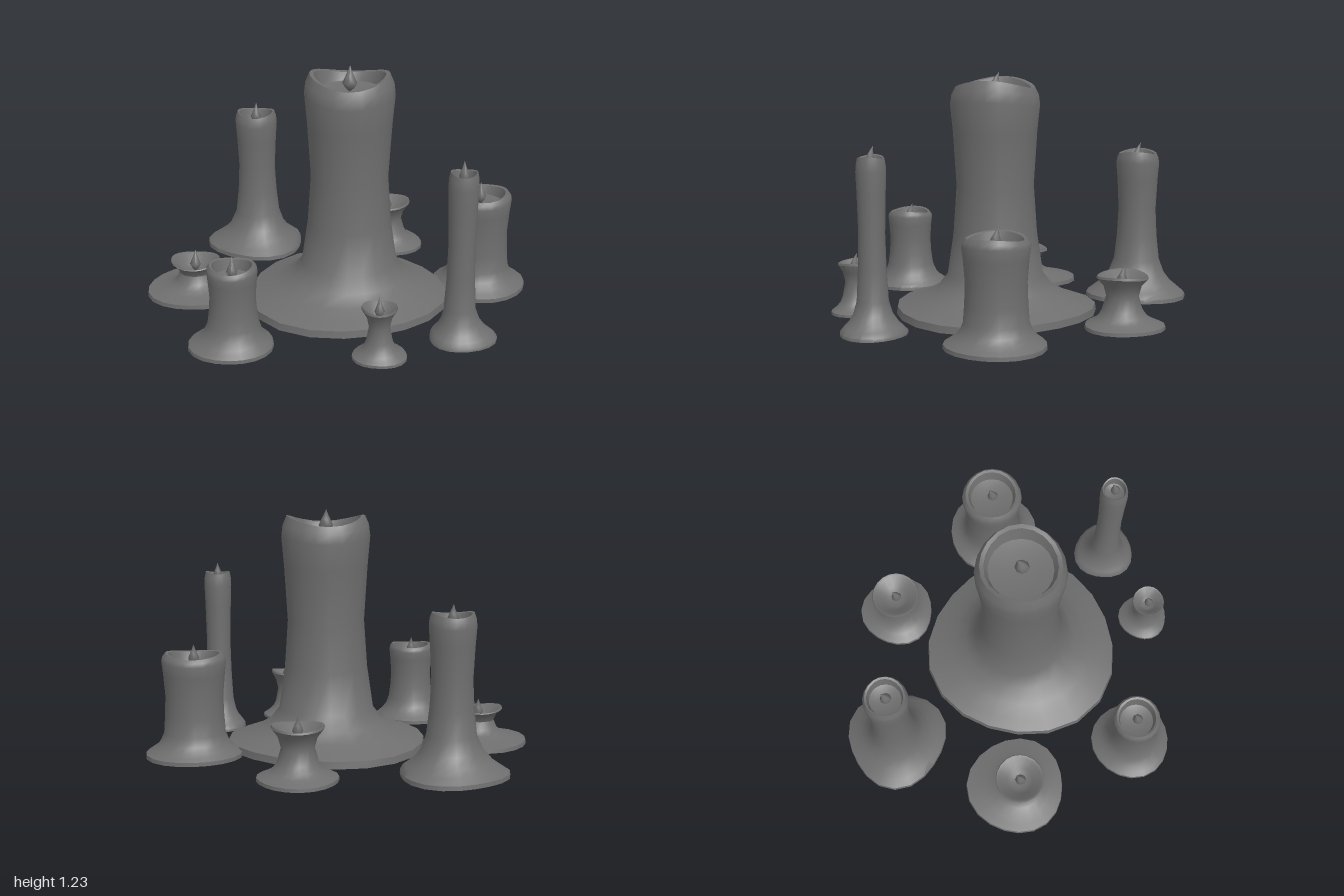
import * as THREE from 'three';
import { toCreasedNormals } from 'three/addons/utils/BufferGeometryUtils.js';

const SIDES = 20;
const wax = new THREE.MeshStandardMaterial({ color: 0x6e6e6e, side: THREE.DoubleSide });

// Stem rows as [share of stem height, share of foot, waist and top radius]
const PILLAR = [[0, 1, 0, 0], [0.22, 0.35, 0.65, 0], [0.47, 0, 1, 0], [0.75, 0, 0.45, 0.55],
  [0.9, 0, 0, 1], [0.955, 0, 0, 0.97], [1, 0, 0, 0.88]];
const STUB = [[0, 1, 0, 0], [0.4, 0, 1, 0], [0.7, 0, 0.7, 0.3], [0.94, 0, 0, 1], [1, 0, 0, 0.97]];

// Joins closed rings of points into one skin; rings run up the outside, then into the well
function skin(rings) {
  const index = [];
  for (let i = 0; i < rings.length - 1; i++) {
    for (let j = 0; j < SIDES; j++) {
      const a = i * SIDES + j, b = i * SIDES + ((j + 1) % SIDES);
      index.push(a, a + SIDES, b, b, a + SIDES, b + SIDES);
    }
  }
  const geometry = new THREE.BufferGeometry();
  geometry.setAttribute('position', new THREE.Float32BufferAttribute(rings.flat(2), 3));
  geometry.setIndex(index);
  return toCreasedNormals(geometry, 0.75);
}

// radius and height are functions of the angle from +x towards +z
function ring(radius, height) {
  return Array.from({ length: SIDES }, (_, j) => {
    const a = (j / SIDES) * Math.PI * 2;
    return [radius(a) * Math.cos(a), height(a), radius(a) * Math.sin(a)];
  });
}

function waxGeometry({ rows, rimY, floor, footY, foot, waist, top, spread, dx, dz, lobe, turn }) {
  const edge = 0.005 + 0.06 * spread;
  const wave = 0.004 + 0.07 * spread * spread;
  const puddle = (a) => spread + dx * Math.cos(a) + dz * Math.sin(a) + lobe * Math.cos(3 * (a - turn));
  const wavy = (y, w) => (a) => y + w * wave * Math.cos(2 * a);
  const rings = [ring(puddle, () => 0)];

  // Puddle flaring into the stem
  for (const [t, h] of [[0.02, 0], [0.25, 0.14], [0.52, 0.31], [0.8, 0.58]]) {
    const y = THREE.MathUtils.lerp(edge, footY, h);
    rings.push(ring((a) => THREE.MathUtils.lerp(puddle(a), foot, t), () => y));
  }
  // Stem and wavy rim
  for (const [t, f, w, k] of rows) {
    const r = f * foot + w * waist + k * top;
    const y = THREE.MathUtils.lerp(footY, rimY, t);
    rings.push(ring(() => r, wavy(y, Math.max(0, 4 * t - 3))));
  }
  // Melted well, kept inside the waist
  const rim = top * rows[rows.length - 1][3];
  const well = Math.min(rim * 0.8, waist * 0.85);
  rings.push(ring(() => rim * 0.9, wavy(rimY - 0.004, 1)));
  rings.push(ring(() => well, () => floor + 0.012));
  rings.push(ring(() => well * 0.6, () => floor));
  rings.push(ring(() => 0, () => floor));
  return skin(rings);
}

// Teardrop flame with a slightly curled tip
function flameGeometry(height, radius) {
  const profile = [[0, 0], [0.6, 0.16], [1, 0.36], [0.62, 0.6], [0.28, 0.8], [0, 1]]
    .map(([r, y]) => new THREE.Vector2(r * radius, y * height));
  const geometry = new THREE.LatheGeometry(profile, 8);
  const p = geometry.attributes.position;
  for (let i = 0; i < p.count; i++) {
    const t = p.getY(i) / height;
    p.setZ(i, p.getZ(i) + radius * 0.9 * (t - 1.6 * t * t));
  }
  geometry.computeVertexNormals();
  return geometry;
}

// stem: foot height, then foot, waist and top radius
// puddle: mean radius, lean in x and z, lobe size, lobe direction in degrees
function makeCandle(name, rows, [x, z], [rimY, tip], stem, puddle) {
  const [footY, foot, waist, top] = stem;
  const [spread, dx, dz, lobe, degrees] = puddle;
  const turn = THREE.MathUtils.degToRad(degrees);
  const floor = tip - 0.1 - 0.06 * spread;

  const candle = new THREE.Group();
  candle.name = name;
  candle.position.set(x, 0, z);

  const body = new THREE.Mesh(
    waxGeometry({ rows, rimY, floor, footY, foot, waist, top, spread, dx, dz, lobe, turn }), wax);
  body.name = 'waxBody';

  const flame = new THREE.Mesh(flameGeometry(tip - floor, 0.02 + 0.033 * spread), wax);
  flame.name = 'flame';
  flame.position.y = floor;

  candle.add(body, flame);
  return candle;
}

export function createModel() {
  const model = new THREE.Group();
  model.name = 'candleCluster';
  model.add(
    makeCandle('tallPillarCandle', PILLAR, [0.073, 0.052], [1.175, 1.23],
      [0.2, 0.245, 0.197, 0.228], [0.515, -0.017, 0.015, 0.017, 10]),
    makeCandle('backRightPillarCandle', PILLAR, [-0.475, -0.605], [0.78, 0.83],
      [0.2, 0.122, 0.1, 0.115], [0.265, -0.007, 0, 0.016, 60]),
    makeCandle('backLeftStub', STUB, [0.257, -0.628], [0.263, 0.31],
      [0.09, 0.1, 0.08, 0.128], [0.198, 0.001, -0.008, 0.008, 30]),
    makeCandle('leftPillarCandle', PILLAR, [0.75, -0.11], [0.52, 0.57],
      [0.12, 0.155, 0.145, 0.162], [0.244, 0.006, 0, 0.005, 80]),
    makeCandle('slimTaperCandle', PILLAR, [0.63, 0.527], [0.855, 0.91],
      [0.16, 0.077, 0.064, 0.073], [0.165, 0.015, -0.003, 0.007, 5]),
    makeCandle('frontStub', STUB, [0.247, 0.75], [0.262, 0.31],
      [0.09, 0.063, 0.05, 0.086], [0.132, 0.002, -0.009, 0.005, 33]),
    makeCandle('frontPillarCandle', PILLAR, [-0.455, 0.665], [0.42, 0.46],
      [0.12, 0.125, 0.111, 0.122], [0.208, -0.013, -0.003, 0.005, 35]),
    makeCandle('rightStub', STUB, [-0.73, 0.065], [0.18, 0.23],
      [0.075, 0.1, 0.083, 0.128], [0.258, 0.002, -0.021, 0.008, 27]),
  );
  return model;
}
